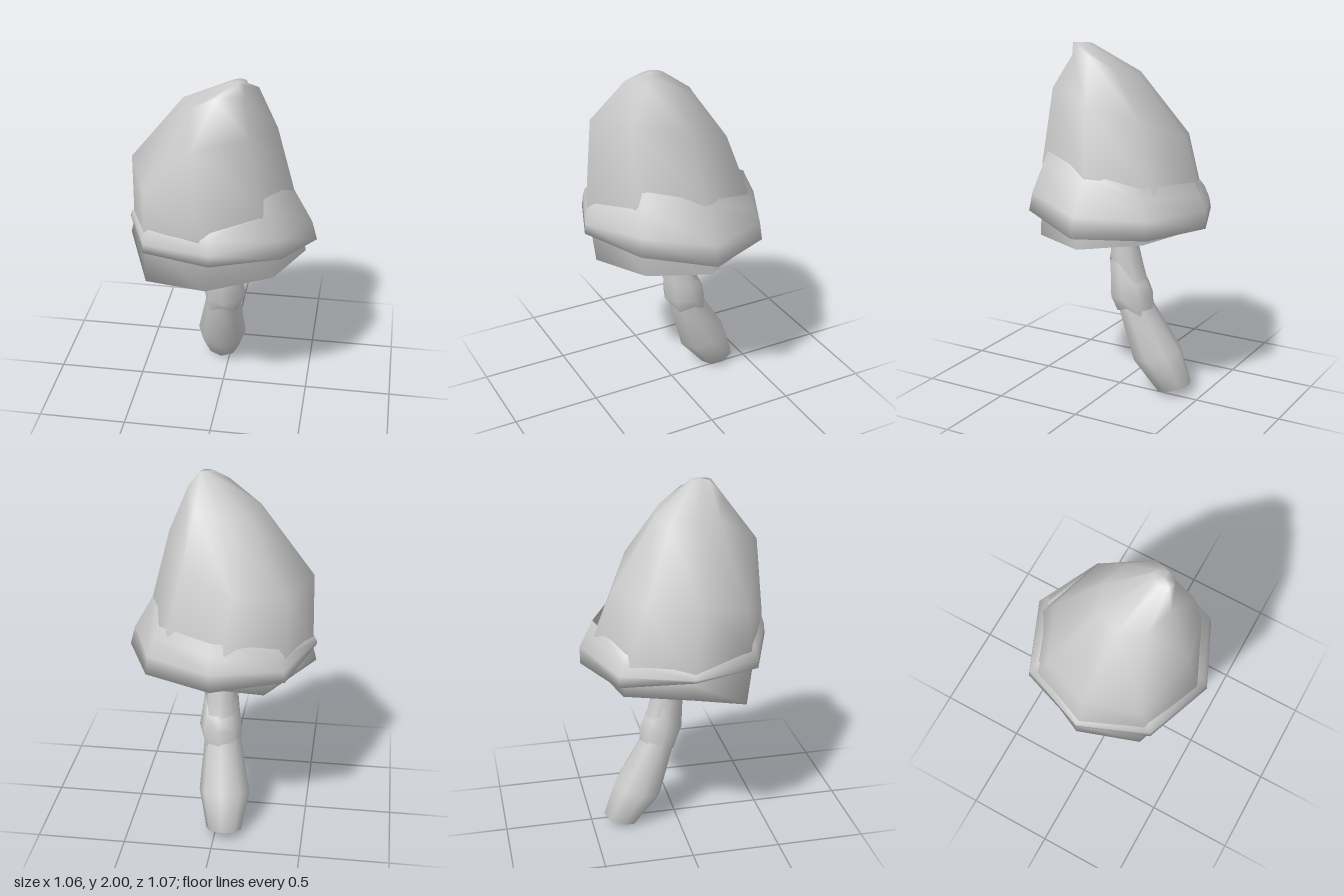
import * as THREE from 'three';

const SIDES = 8;
const material = new THREE.MeshStandardMaterial({ color: 0xcccccc, side: THREE.DoubleSide });

// Tilted oval ring: centre, radii, slopes of y along x and z, optional lift per corner
function ring([x, y, z], rx, rz = rx, sx = 0, sz = 0, lift = []) {
  return Array.from({ length: SIDES }, (_, i) => {
    const a = (i / SIDES) * Math.PI * 2;
    const dx = Math.cos(a) * rx, dz = Math.sin(a) * rz;
    return [x + dx, y + sx * dx + sz * dz + (lift[i] || 0), z + dz];
  });
}

// Uneven ring about the y axis: radius and height per corner
function unevenRing(radii, heights) {
  return radii.map((r, i) => {
    const a = (i / SIDES) * Math.PI * 2;
    return [Math.cos(a) * r, heights[i], Math.sin(a) * r];
  });
}

// Smooth skin over rings listed from top to bottom (or outside to inside below)
function loft(name, rings) {
  const index = [];
  for (let r = 0; r < rings.length - 1; r++) {
    for (let i = 0; i < SIDES; i++) {
      const j = (i + 1) % SIDES;
      const a = r * SIDES + i, b = r * SIDES + j, c = a + SIDES, d = b + SIDES;
      index.push(a, b, c, b, d, c);
    }
  }
  const geometry = new THREE.BufferGeometry();
  geometry.setAttribute('position', new THREE.Float32BufferAttribute(rings.flat(2), 3));
  geometry.setIndex(index);
  geometry.computeVertexNormals();
  const mesh = new THREE.Mesh(geometry, material);
  mesh.name = name;
  return mesh;
}

export function createModel() {
  const group = new THREE.Group();
  group.name = 'mushroom';

  // Cap rim, with one corner at the back hanging low and inwards
  const rim = ring([-0.03, 0.95, 0], 0.5, 0.455, -0.01, -0.1,
    [0, 0.03, 0, -0.065, 0.03, 0, 0, 0]);
  rim[5] = [-0.27, 0.92, -0.34];

  // Lopsided cap leaning to the front left, with a dished underside drawn into the stem
  group.add(loft('cap', [
    ring([0.11, 2.0, 0.17], 0.001),
    ring([0.11, 1.995, 0.17], 0.045, 0.06),
    ring([0, 1.9, 0.08], 0.2, 0.19, 0.2, 0.35, [0, -0.04, -0.03, -0.07, 0, 0, 0, -0.02]),
    ring([-0.1, 1.6, 0.04], 0.4, 0.395, 0.25, 0.28, [0, 0, 0, -0.2, -0.02]),
    ring([-0.06, 1.2, 0], 0.45, 0.49, 0.3, 0.13),
    rim,
    ring([-0.01, 1.02, 0], 0.36, 0.34),
    ring([0, 1.03, -0.01], 0.2),
    ring([0, 1.0, -0.015], 0.11),
    ring([0, 0.96, -0.02], 0.076),
  ]));

  // Ragged band wrapped round the cap, with a rolled lower lip
  group.add(loft('capBand', [
    unevenRing([0.37, 0.41, 0.46, 0.49, 0.49, 0.475, 0.46, 0.43],
      [1.34, 1.42, 1.27, 1.21, 1.13, 1.2, 1.27, 1.28]),
    unevenRing([0.40, 0.44, 0.5, 0.52, 0.52, 0.505, 0.495, 0.465],
      [1.31, 1.34, 1.24, 1.18, 1.12, 1.16, 1.2, 1.22]),
    unevenRing([0.5, 0.5, 0.525, 0.535, 0.53, 0.535, 0.535, 0.51],
      [1.13, 1.19, 1.16, 1.12, 1.1, 1.09, 1.12, 1.12]),
    unevenRing([0.53, 0.52, 0.53, 0.54, 0.53, 0.545, 0.535, 0.525],
      [1.02, 1.09, 1.1, 1.07, 1.085, 1.03, 1.02, 1.02]),
    unevenRing([0.44, 0.44, 0.45, 0.47, 0.47, 0.45, 0.45, 0.43],
      [1.03, 1.1, 1.12, 1.09, 1.1, 1.06, 1.05, 1.04]),
  ]));

  // Stem, curving back to a swollen foot
  group.add(loft('stem', [
    ring([0, 1.0, -0.02], 0.074),
    ring([0, 0.93, -0.02], 0.075, 0.075, 0, -0.1),
    ring([0, 0.73, -0.05], 0.09, 0.095, 0, -0.15),
    ring([-0.015, 0.5, -0.1], 0.105, 0.1, 0, -0.15),
    ring([-0.04, 0.22, -0.225], 0.145, 0.137, 0, -0.3),
    ring([-0.05, 0.031, -0.335], 0.1, 0.096, 0, -0.32),
    ring([-0.05, 0.031, -0.335], 0.001),
  ]));

  // Ragged sleeve round the upper stem, its top edge dropping towards the back
  const ragged = [0.02, -0.02, 0.01, -0.03, 0.02, -0.01, 0.02, -0.02];
  group.add(loft('stemSleeve', [
    ring([0, 0.75, -0.045], 0.096, 0.1, 0, 0.7, ragged),
    ring([0, 0.66, -0.065], 0.108, 0.113, 0, 0.2),
    ring([0, 0.57, -0.08], 0.122, 0.124, 0, -0.08),
    ring([-0.01, 0.49, -0.1], 0.108, 0.108, 0, 0.1, ragged),
  ]));

  return group;
}
